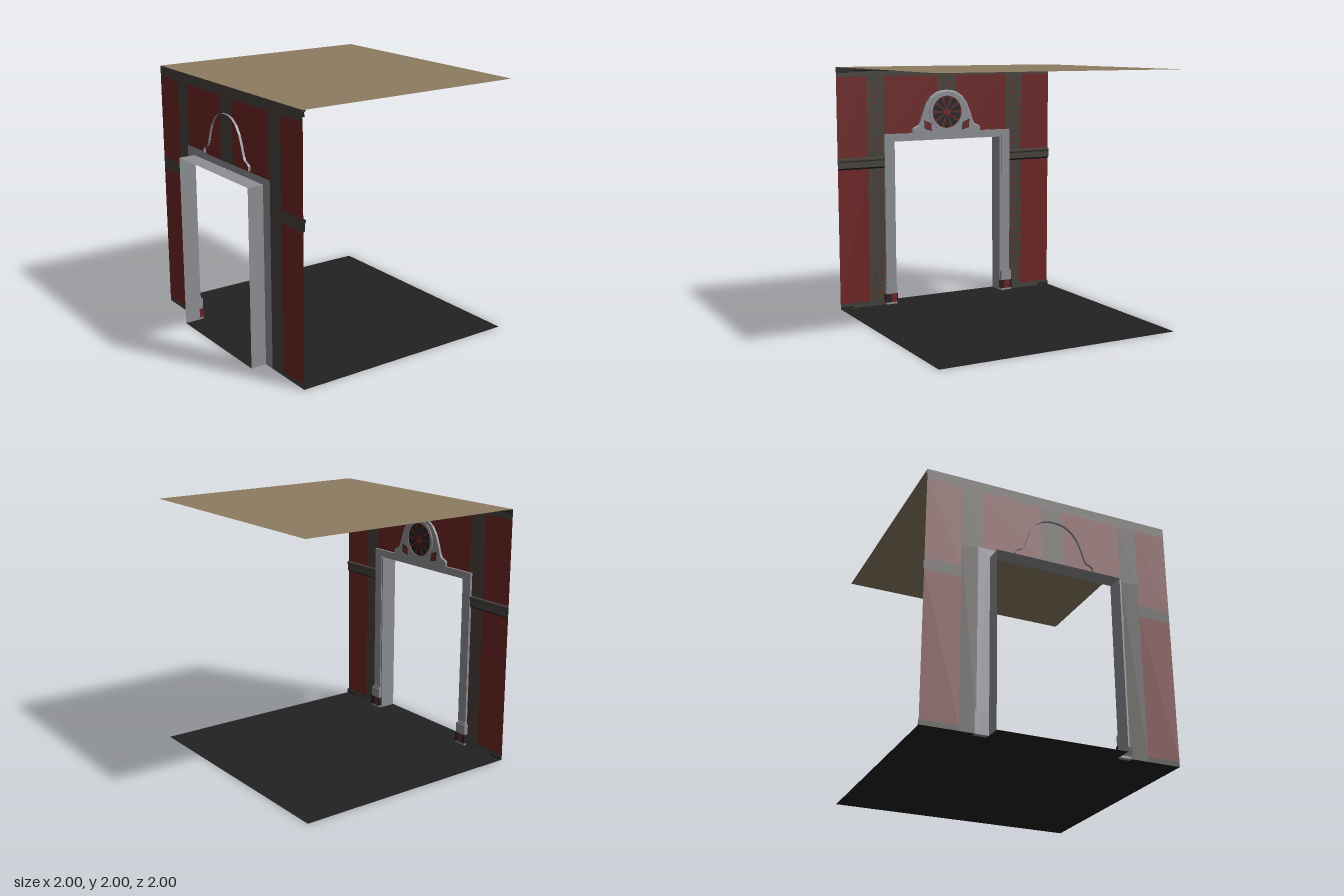
import * as THREE from 'three';

const mat = (name, color) => {
  const m = new THREE.MeshStandardMaterial({ color, side: THREE.DoubleSide });
  m.name = name;
  return m;
};

export function createModel() {
  const red = mat('red panel', 0x6e2323);
  const brown = mat('dark brown trim', 0x45413a);
  const black = mat('black', 0x222222);
  const grey = mat('grey stone', 0x8e8f95);
  const tan = mat('tan ceiling', 0x8c7b60);

  const model = new THREE.Group();
  model.name = 'room';
  // Wall space: x runs along the wall, y up, z out of the wall into the room
  const wall = new THREE.Group();
  wall.name = 'doorWall';
  wall.rotation.y = Math.PI / 2;
  wall.position.x = -0.875;
  model.add(wall);

  const add = (parent, name, geo, m, x = 0, y = 0, z = 0) => {
    const mesh = new THREE.Mesh(geo, m);
    mesh.name = name;
    mesh.position.set(x, y, z);
    parent.add(mesh);
    return mesh;
  };
  const rect = (name, x0, x1, y0, y1, m, z = 0) =>
    add(wall, name, new THREE.PlaneGeometry(x1 - x0, y1 - y0), m, (x0 + x1) / 2, (y0 + y1) / 2, z);
  const box = (name, x0, x1, y0, y1, z0, z1, m) =>
    add(wall, name, new THREE.BoxGeometry(x1 - x0, y1 - y0, z1 - z0), m, (x0 + x1) / 2, (y0 + y1) / 2, (z0 + z1) / 2);
  const shapeOf = pts => new THREE.Shape(pts.map(p => new THREE.Vector2(...p)));
  // Faceted ribbon joining two matching rows of points
  const ribbon = (a, b) => {
    const v = [];
    for (let i = 0; i + 1 < a.length; i++) v.push(...a[i], ...b[i], ...b[i + 1], ...a[i], ...b[i + 1], ...a[i + 1]);
    const g = new THREE.BufferGeometry();
    g.setAttribute('position', new THREE.Float32BufferAttribute(v, 3));
    g.computeVertexNormals();
    return g;
  };
  // Open-ended moulding along the wall from a [depth, height] profile
  const moulding = (name, x0, x1, profile, m) =>
    add(wall, name, ribbon(profile.map(([d, y]) => [x0, y, d]), profile.map(([d, y]) => [x1, y, d])), m);

  // Floor, threshold and ceiling
  const flat = (name, x0, x1, depth, y, m) => {
    const g = new THREE.PlaneGeometry(x1 - x0, depth).rotateX(-Math.PI / 2);
    add(model, name, g, m, (x0 + x1) / 2, y, 0);
  };
  flat('floor', -0.875, 1, 2, 0, black);
  flat('threshold', -1, -0.875, 1, 0, black);
  flat('ceiling', -0.875, 1, 2, 2, tan);

  // Wall panels, columns and bands
  rect('topBand', -1, 1, 1.92, 2, brown);
  rect('centreColumn', -0.095, 0.08, 1.43, 1.92, brown);
  rect('upperPanel', -0.58, -0.095, 1.43, 1.92, red);
  rect('upperPanel', 0.08, 0.565, 1.43, 1.92, red);
  for (const s of [-1, 1]) {
    const span = (name, a, b, y0, y1, m) => rect(name, Math.min(s * a, s * b), Math.max(s * a, s * b), y0, y1, m);
    const edge = s < 0 ? 0.735 : 0.72;
    span('outerPanelLower', edge, 1, 0.04, 1.16, red);
    span('outerPanelUpper', edge, 1, 1.255, 1.92, red);
    span('middleBand', edge, 1, 1.16, 1.255, brown);
    span('bottomBand', edge, 1, 0, 0.04, brown);
    span('column', 0.59, edge, 0, 1.43, brown);
    span('columnTop', s < 0 ? 0.58 : 0.565, edge, 1.43, 1.92, brown);

    // Middle and bottom mouldings
    const a = s < 0 ? -1 : 0.594, b = s < 0 ? -0.594 : 1;
    moulding('middleMouldingEdge', a, b, [[0, 1.16], [0.015, 1.175]], black);
    moulding('middleMoulding', a, b, [[0.015, 1.175], [0.015, 1.225], [0.021, 1.235], [0.021, 1.25], [0, 1.257]], brown);
    moulding('skirting', a, b, [[0.015, 0], [0.015, 0.032]], brown);
    moulding('skirtingEdge', a, b, [[0.015, 0.032], [0, 0.04]], black);
    rect('skirtingPatch', s < 0 ? -1 : 0.89, s < 0 ? -0.89 : 1, 0.003, 0.02, black, 0.017);
  }

  // Cornice below the ceiling
  moulding('cornice', -1, 1, [[0, 1.962], [0.012, 1.972]], brown);
  moulding('corniceLine', -1, 1, [[0.012, 1.972], [0.012, 1.984]], black);
  moulding('corniceTop', -1, 1, [[0.012, 1.984], [0.024, 1.988], [0.024, 2]], brown);
  rect('cornicePatch', -1, -0.89, 1.95, 1.972, black, 0.014);

  // Rivet rows on the columns: diamonds, with a tie bar on every fourth row
  const rivet = new THREE.CircleGeometry(0.011, 4);
  const rivets = (xa, xb, y0, y1) => {
    for (let i = 0, y = y1; y >= y0; i++, y -= 0.056) {
      for (const x of [xa, xb]) {
        add(wall, 'rivet', rivet, red, x, y, 0.002);
        const dir = x === xa ? 1 : -1;
        rect('rivetTail', Math.min(x, x + dir * 0.017), Math.max(x, x + dir * 0.017), y - 0.003, y + 0.003, red, 0.002);
      }
      if (i % 4 === 2) rect('rivetBar', xa, xb, y - 0.003, y + 0.003, red, 0.002);
    }
  };
  for (const [xa, xb] of [[-0.685, -0.625], [0.62, 0.68]]) {
    rivets(xa, xb, 0.07, 1.115);
    rivets(xa, xb, 1.29, 1.87);
  }
  rivets(-0.045, 0.02, 1.79, 1.87);

  // Door surround with an inner bead
  const arch = (w, top, wi, topi) => shapeOf([[-w, 0], [-w, top], [w, top], [w, 0], [wi, 0], [wi, topi], [-wi, topi], [-wi, 0]]);
  const extrude = (s, depth) => new THREE.ExtrudeGeometry(s, { depth, bevelEnabled: false, curveSegments: 24 });
  add(wall, 'doorSurround', extrude(arch(0.594, 1.44, 0.512, 1.393), 0.02), grey);
  add(wall, 'doorBead', extrude(arch(0.512, 1.393, 0.5, 1.378), 0.012), grey);

  // Passage behind the door: two sides and a lintel
  const tunnel = [[-0.5, 0], [-0.5, 1.375], [0.5, 1.375], [0.5, 0]];
  add(wall, 'doorPassage', ribbon(tunnel.map(([x, y]) => [x, y, -0.125]), tunnel.map(([x, y]) => [x, y, 0.005])), grey);

  // Plinths with a red and black foot band
  for (const s of [-1, 1]) {
    const x0 = s < 0 ? -0.605 : 0.505, x1 = x0 + 0.1;
    box('plinth', x0, x1, 0, 0.172, 0, 0.036, grey);
    box('plinthCap', x0 + 0.01, x1 - 0.01, 0.172, 0.19, 0, 0.028, grey);
    box('plinthBand', x0 - 0.005, x1 + 0.005, 0.018, 0.09, 0, 0.042, black);
    const r0 = s < 0 ? -0.56 : 0.53, r1 = s < 0 ? -0.51 : 0.585;
    rect('plinthBandRed', r0, r1, 0.018, 0.09, red, 0.044);
    const side = rect('plinthBandSide', -0.02, 0.02, 0.018, 0.09, red);
    side.rotation.y = -Math.PI / 2;
    side.position.set(x0 - 0.006, 0.054, 0.021);
  }

  // Crest over the door: front face and a rim that runs back through the wall
  const crest = new THREE.Group();
  crest.name = 'crest';
  crest.position.x = -0.018;
  wall.add(crest);
  const half = [[0.32, 1.44], [0.32, 1.472], [0.305, 1.487], [0.265, 1.505], [0.25, 1.53], [0.225, 1.605],
    [0.195, 1.68], [0.15, 1.742], [0.095, 1.78], [0.045, 1.794]];
  const outline = [...half, [0, 1.797], ...half.slice().reverse().map(([x, y]) => [-x, y])];
  add(crest, 'crestFace', new THREE.ShapeGeometry(shapeOf(outline)), grey, 0, 0, 0.02);
  add(crest, 'crestRim', ribbon(outline.map(([x, y]) => [x, y, -0.02]), outline.map(([x, y]) => [x, y, 0.02])), grey);
  const inner = outline.map(([x, y]) => [x * 0.95, 1.44 + (y - 1.44) * 0.955]);
  add(crest, 'crestBevel', ribbon(outline.map(([x, y]) => [x, y, 0.02]), inner.map(([x, y]) => [x, y, 0.024])), grey);

  // Round fan: ring, red disc and black blades
  const ring = new THREE.Shape().absarc(0, 0, 0.162, 0, Math.PI * 2);
  ring.holes.push(new THREE.Path().absarc(0, 0, 0.137, 0, Math.PI * 2, true));
  add(crest, 'fanRing', extrude(ring, 0.01), grey, 0, 1.61, 0.018);
  add(crest, 'fanDisc', new THREE.CircleGeometry(0.138, 32), red, 0, 1.61, 0.022);
  const blade = new THREE.ShapeGeometry(shapeOf([[0.03, -0.006], [0.125, -0.03], [0.135, 0], [0.125, 0.03], [0.03, 0.006]]));
  for (let i = 0; i < 10; i++) add(crest, 'fanBlade', blade, black, 0, 1.61, 0.0245).rotation.z = (i + 0.5) * Math.PI / 5;

  // Slanted red insets with dark borders
  const inset = [[0.21, 1.538], [0.15, 1.515], [0.148, 1.458], [0.205, 1.475]];
  const inflate = inset.map(([x, y]) => [0.178 + (x - 0.178) * 1.14, 1.497 + (y - 1.497) * 1.14]);
  for (const s of [-1, 1]) {
    const flip = pts => new THREE.ShapeGeometry(shapeOf(pts.map(([x, y]) => [s * x, y])));
    add(crest, 'insetBorder', flip(inflate), black, 0, 0, 0.0225);
    add(crest, 'inset', flip(inset), red, 0, 0, 0.025);
  }
  return model;
}
